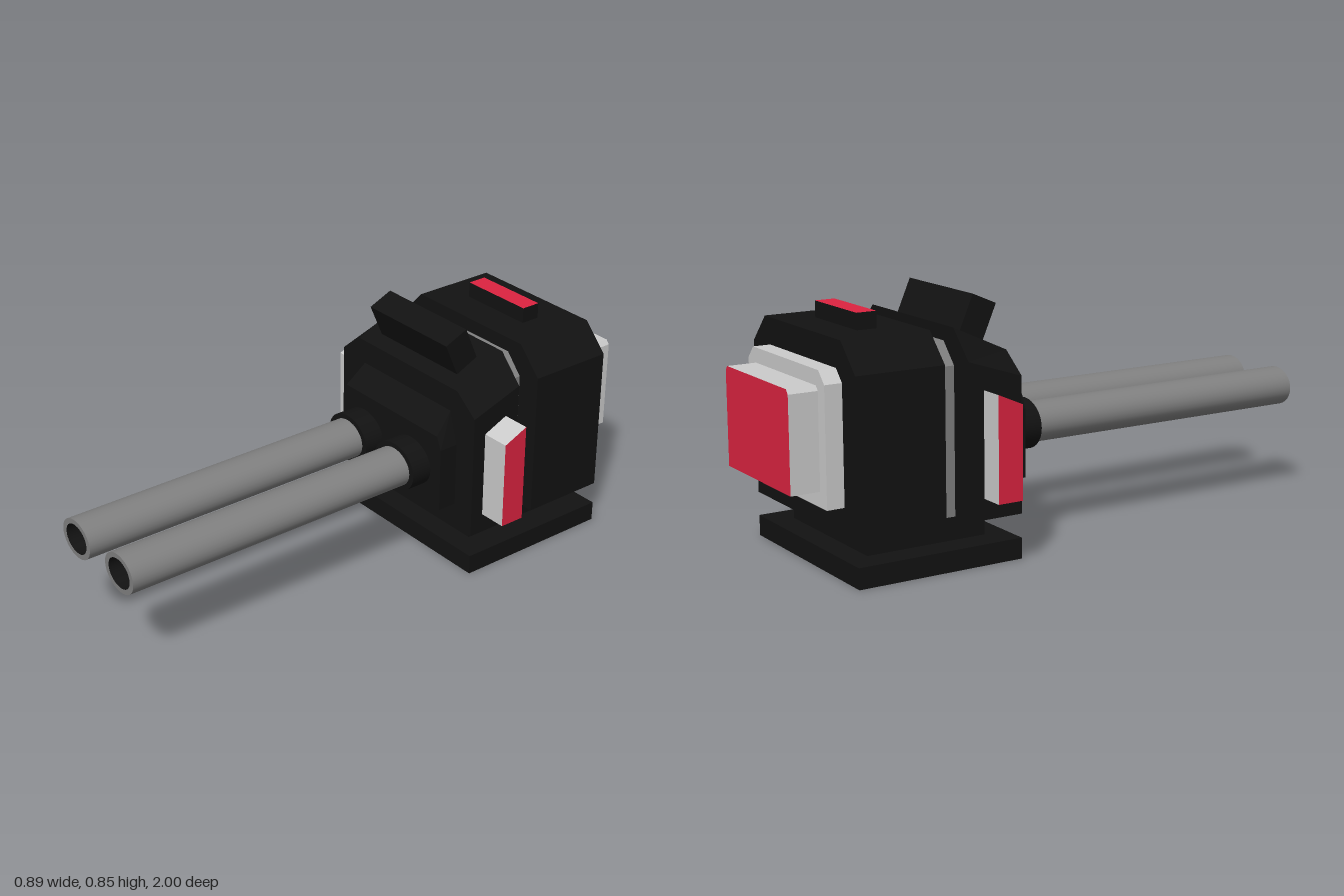
import * as THREE from 'three';

const paint = (color, side = THREE.FrontSide) => new THREE.MeshStandardMaterial({ color, side });

export function createModel() {
  const model = new THREE.Group();
  const black = paint(0x121212), steel = paint(0x808080), grey = paint(0xcccccc), red = paint(0xdc2340);
  const bore = paint(0x121212, THREE.BackSide);
  const CX = -0.0085; // the housing sits slightly off the centre line

  function add(name, geometry, material, x = 0, y = 0, z = 0) {
    const mesh = new THREE.Mesh(geometry, material);
    mesh.name = name;
    mesh.position.set(x, y, z);
    model.add(mesh);
    return mesh;
  }

  // Box given by its half width, y range and z range
  function block(name, half, y0, y1, z0, z1, material) {
    return add(name, new THREE.BoxGeometry(2 * half, y1 - y0, z1 - z0), material, CX, (y0 + y1) / 2, (z0 + z1) / 2);
  }

  // Flat-faced solid between two convex outlines (counter-clockwise seen from +z).
  // Material groups: 0 sides, 1 front cap, 2 back cap
  function loft(front, back, zFront, zBack) {
    const f = front.map(([x, y]) => [x, y, zFront]);
    const b = back.map(([x, y]) => [x, y, zBack]);
    const n = f.length, pos = [];
    const tri = (...corners) => corners.forEach((c) => pos.push(...c));
    for (let i = 0; i < n; i++) {
      const j = (i + 1) % n;
      tri(f[i], b[i], b[j]);
      tri(f[i], b[j], f[j]);
    }
    for (let i = 1; i < n - 1; i++) tri(f[0], f[i], f[i + 1]);
    for (let i = 1; i < n - 1; i++) tri(b[0], b[i + 1], b[i]);
    const g = new THREE.BufferGeometry();
    g.setAttribute('position', new THREE.Float32BufferAttribute(pos, 3));
    g.computeVertexNormals();
    g.addGroup(0, n * 6, 0);
    g.addGroup(n * 6, (n - 2) * 3, 1);
    g.addGroup(n * 6 + (n - 2) * 3, (n - 2) * 3, 2);
    return g;
  }

  // Outline with chamfered upper corners
  const outline = (half, topHalf, bottom, shoulder, top) => [
    [-half, bottom], [half, bottom], [half, shoulder],
    [topHalf, top], [-topHalf, top], [-half, shoulder],
  ];
  const all = (m) => [m, m, m];

  // Pedestal
  block('base', 0.351, 0, 0.07, -0.84, -0.25, black);
  block('neck', 0.254, 0.07, 0.15, -0.76, -0.33, black);

  // Housing
  const full = outline(0.351, 0.261, 0.15, 0.665, 0.76);
  const sloped = outline(0.351, 0.261, 0.15, 0.60, 0.67);
  const waist = outline(0.263, 0.2, 0.15, 0.64, 0.71);
  add('rearHousing', loft(full, full, -0.53, -0.84), all(black), CX);
  add('waistBand', loft(waist, waist, -0.445, -0.53), all(steel), CX);
  add('frontHousing', loft(sloped, full, -0.25, -0.445), all(black), CX);
  add('nosePlate', loft(outline(0.265, 0.245, 0.24, 0.47, 0.515),
    outline(0.265, 0.23, 0.24, 0.47, 0.585), -0.18, -0.25), all(black), CX);

  // Tilted flap and red-topped fin
  add('topFlap', new THREE.BoxGeometry(0.4, 0.18, 0.094), black, CX, 0.7475, -0.3285).rotation.x = 0.41;
  block('topFin', 0.14, 0.75, 0.815, -0.72, -0.65, [black, black, red, black, black, black]);

  // Stepped panel on the back
  const step = outline(0.265, 0.228, 0.24, 0.63, 0.67);
  const cover = outline(0.222, 0.21, 0.29, 0.605, 0.62);
  add('backStep', loft(step, step, -0.84, -0.9), all(grey), CX);
  add('backCover', loft(cover, cover, -0.9, -1), [grey, grey, red], CX);

  // Side panels, outlined in profile, with red outer faces
  const profile = [[0.3, 0.22], [0.39, 0.22], [0.39, 0.57], [0.3, 0.53]];
  add('leftPanel', loft(profile, profile, 0.443, 0.33), [grey, red, grey]).rotation.y = Math.PI / 2;
  add('rightPanel', loft(profile, profile, -0.345, -0.444), [grey, grey, red]).rotation.y = Math.PI / 2;

  // Twin oval barrels with collars
  const R = 0.0815, r = 0.061, z0 = -0.1, z1 = 1, len = z1 - z0;
  const tube = (radius, length, open) =>
    new THREE.CylinderGeometry(radius, radius, length, 32, 1, open).rotateX(Math.PI / 2);
  for (const side of [-1, 1]) {
    const barrel = new THREE.Group();
    barrel.name = side > 0 ? 'leftBarrel' : 'rightBarrel';
    const parts = [
      ['barrelTube', tube(R, len, true), steel, (z0 + z1) / 2],
      ['barrelBore', tube(r, len, true), bore, (z0 + z1) / 2],
      ['barrelMuzzle', new THREE.RingGeometry(r, R, 32), steel, z1],
      ['boreEnd', new THREE.CircleGeometry(r, 32), steel, z0 + 0.015],
      ['barrelCollar', tube(0.1025, 0.075, false), black, -0.1275],
    ];
    for (const [name, geometry, material, z] of parts) {
      const mesh = new THREE.Mesh(geometry.scale(1, 0.835, 1), material);
      mesh.name = name;
      mesh.position.z = z;
      barrel.add(mesh);
    }
    barrel.position.set(side * 0.127 - 0.0055, 0.385, 0);
    model.add(barrel);
  }
  return model;
}
